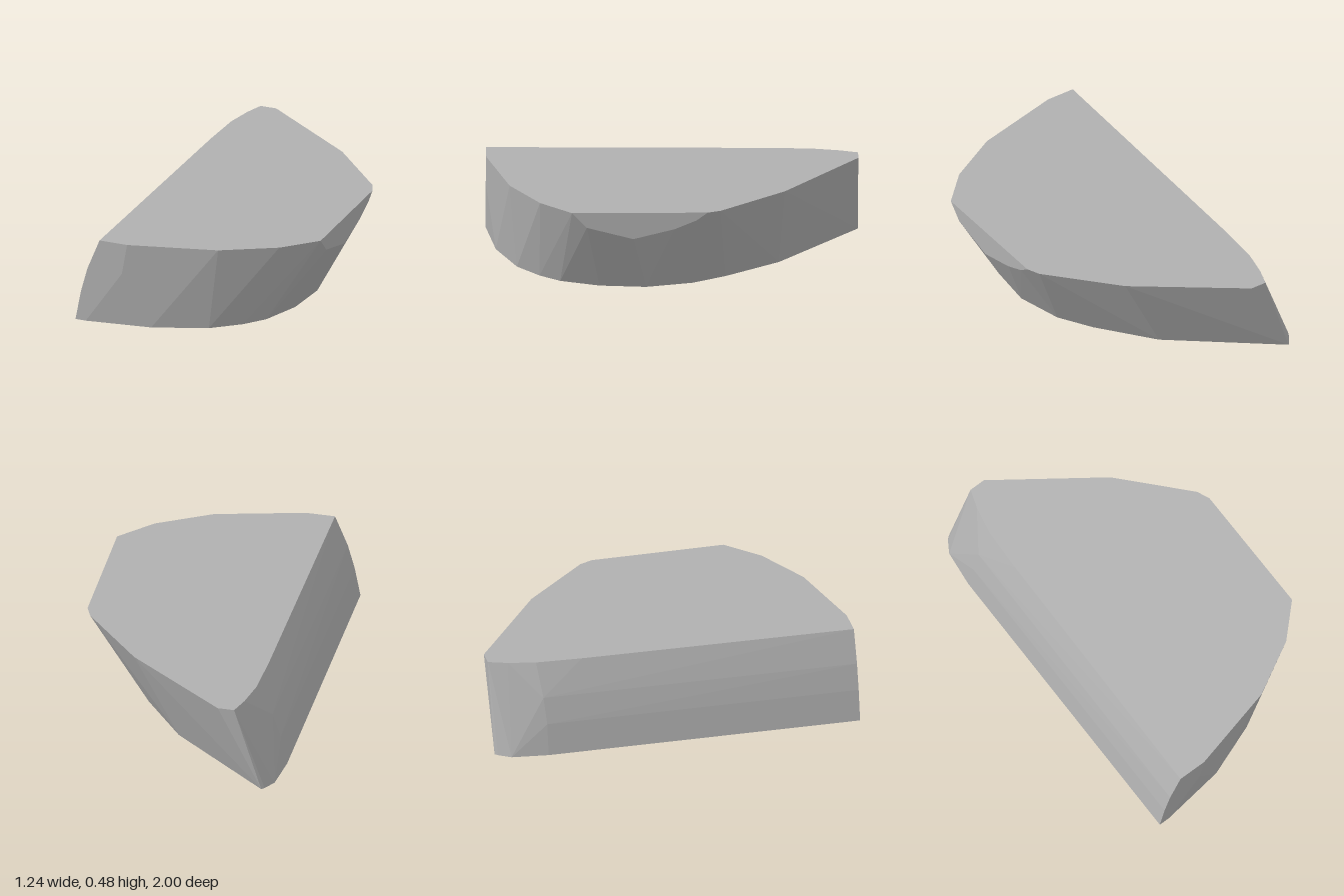
import * as THREE from 'three';
import { ConvexGeometry } from 'three/addons/geometries/ConvexGeometry.js';

const HEIGHT = 0.484;

// Outlines as [x, z] pairs
const TOP = [
  [-0.48, 1], [-0.32, 1], [-0.12, 0.95], [0.16, 0.88], [0.45, 0.72], [0.62, 0.55],
  [0.62, -0.18], [0.59, -0.25], [0.27, -0.6], [-0.28, -1], [-0.37, -1],
  [-0.405, -0.9], [-0.437, -0.75], [-0.45, -0.5],
];
const BASE = [
  [-0.62, 1], [-0.56, 1], [-0.2, 0.95], [0.09, 0.84], [0.24, 0.72], [0.33, 0.61],
  [0.41, 0.4], [0.435, 0.15], [0.37, -0.1], [0.26, -0.28], [0.03, -0.57],
  [-0.52, -1], [-0.535, -0.985], [-0.576, -0.92], [-0.6, -0.72],
];

// Points between base and top as [x, y, z]
const SIDES = [
  // bowed long face
  [-0.588, 0.17, 1], [-0.55, 0.31, 1], [-0.566, 0.17, -0.72], [-0.523, 0.31, -0.73],
  // chipped front corner
  [-0.35, 0.31, 1],
  // lower edge of the flat upright facet
  [0.62, 0.4, 0.47], [0.62, 0.335, 0.22], [0.62, 0.39, 0], [0.62, 0.44, -0.12],
];

export function createModel() {
  const group = new THREE.Group();
  group.name = 'rockSlab';

  const stone = new THREE.MeshStandardMaterial({ color: 0xb0b0b0 });
  stone.name = 'grey stone';

  // One faceted stone, hulled from its outlines
  const ring = (outline, y) => outline.map(([x, z]) => new THREE.Vector3(x, y, z));
  const points = [
    ...ring(BASE, 0),
    ...ring(TOP, HEIGHT),
    ...SIDES.map((p) => new THREE.Vector3(...p)),
  ];
  const rock = new THREE.Mesh(new ConvexGeometry(points), stone);
  rock.name = 'stoneBlock';
  group.add(rock);

  return group;
}
